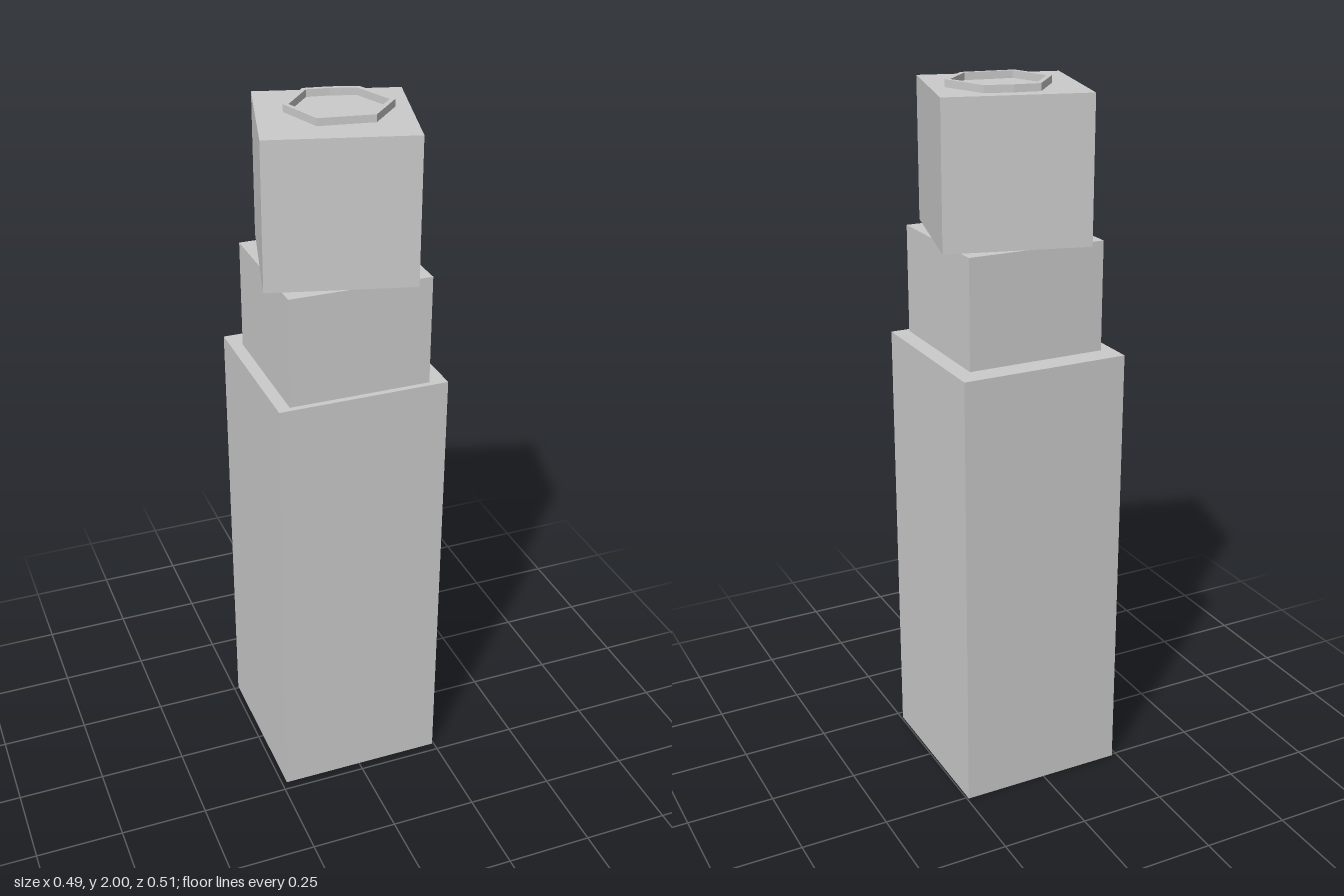
import * as THREE from 'three';

const material = new THREE.MeshStandardMaterial({ color: 0xcccccc, flatShading: true });

// Square block standing between two heights
function block(name, size, bottom, top, x, z, turn = 0) {
  const mesh = new THREE.Mesh(new THREE.BoxGeometry(size, top - bottom, size), material);
  mesh.name = name;
  mesh.position.set(x, (bottom + top) / 2, z);
  mesh.rotation.y = turn;
  return mesh;
}

export function createModel() {
  const model = new THREE.Group();
  model.name = 'tower';

  // Three stacked blocks, the top one twisted
  model.add(
    block('base', 0.48, 0, 1.276, 0.005, -0.0165),
    block('middleBlock', 0.397, 1.276, 1.583, -0.0015, 0.0085),
    block('topBlock', 0.397, 1.583, 1.98, -0.001, 0.009, -0.268)
  );

  // Low rim on the roof, an irregular outline in x and z
  const outer = [[-0.028, -0.152], [0.043, -0.14], [0.117, -0.117], [0.162, 0.019],
    [0.069, 0.12], [-0.08, 0.096], [-0.12, -0.04]];
  const inner = [[-0.023, -0.137], [0.038, -0.127], [0.106, -0.106], [0.147, 0.016],
    [0.064, 0.106], [-0.069, 0.085], [-0.106, -0.036]];
  const points = (list) => list.map(([x, z]) => new THREE.Vector2(x, z));
  const outline = new THREE.Shape(points(outer));
  outline.holes.push(new THREE.Path(points(inner)));
  const rim = new THREE.Mesh(
    new THREE.ExtrudeGeometry(outline, { depth: 0.02, bevelEnabled: false }).rotateX(Math.PI / 2),
    material
  );
  rim.name = 'roofRim';
  rim.position.y = 2;
  model.add(rim);

  return model;
}
